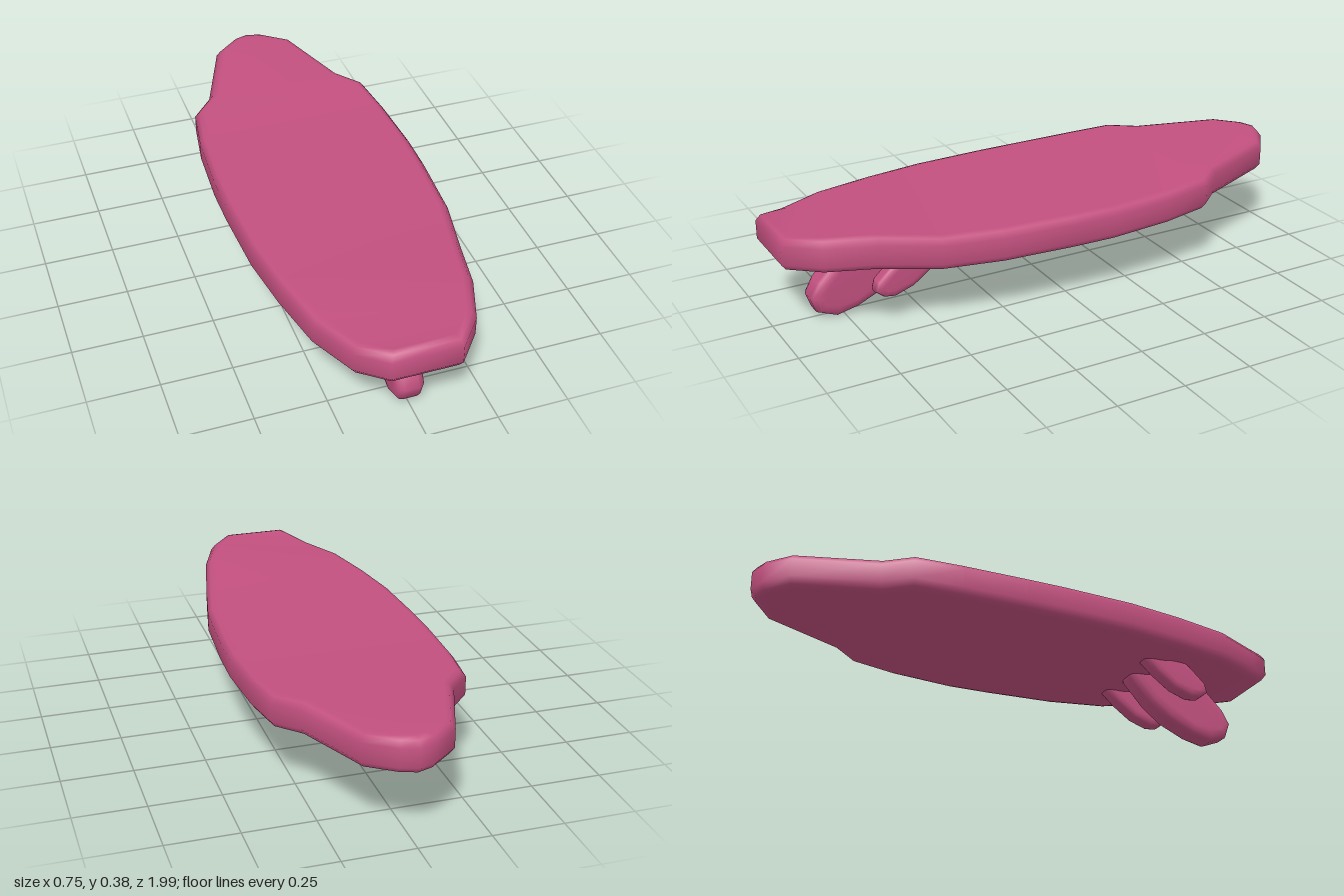
import * as THREE from 'three';
import { mergeVertices } from 'three/addons/utils/BufferGeometryUtils.js';

// Board stations from nose to tail: z, right edge, left edge, lift on each side
const NOSE = { x: 0, z: -1, lift: 0.036 };
const STATIONS = [
  [-0.98, -0.06, 0.06, 0.036, 0.036],
  [-0.905, -0.15, 0.16, 0.034, 0.034],
  [-0.62, -0.26, 0.265, 0.021, 0.021],
  [-0.53, -0.34, 0.34, 0.016, 0.016],
  [-0.36, -0.366, 0.363, 0.006, 0.006],
  [-0.13, -0.378, 0.376, 0, 0],
  [0.02, -0.377, 0.373, 0, 0],
  [0.29, -0.365, 0.355, 0, 0],
  [0.5, -0.335, 0.312, 0, 0],
  [0.715, -0.29, 0.263, 0, 0.03],
  [0.88, -0.213, 0.203, 0, 0.03],
  [0.99, -0.125, 0.115, 0.03, 0.03],
];
// Rounded rail from the underside to the deck: inset, height
const RAIL = [[0.036, 0.22], [0.016, 0.226], [0, 0.248], [0, 0.314], [0.016, 0.335], [0.036, 0.341]];

function boardGeometry() {
  const leftSide = STATIONS.map(([z, , x, , lift]) => ({ x, z, lift }));
  const rightSide = STATIONS.map(([z, x, , lift]) => ({ x, z, lift })).reverse();
  const outline = [NOSE, ...leftSide, ...rightSide];
  const n = outline.length;

  // Inward direction at each corner, mitred so the inset stays even
  const edgeNormal = (a, b) => new THREE.Vector2(a.z - b.z, b.x - a.x).normalize();
  const inward = outline.map((p, i) => {
    const n1 = edgeNormal(outline[(i + n - 1) % n], p);
    const n2 = edgeNormal(p, outline[(i + 1) % n]);
    return n1.clone().add(n2).divideScalar(1 + n1.dot(n2));
  });

  const positions = [];
  const index = [];
  for (const [inset, y] of RAIL) {
    outline.forEach((p, i) => {
      positions.push(p.x + inward[i].x * inset, y + p.lift, p.z + inward[i].y * inset);
    });
  }
  for (let r = 0; r < RAIL.length - 1; r++) {
    for (let i = 0; i < n; i++) {
      const a = r * n + i;
      const b = r * n + ((i + 1) % n);
      index.push(a, a + n, b, b, a + n, b + n);
    }
  }
  // Deck and underside, bridged between opposite edges
  const top = (RAIL.length - 1) * n;
  const cap = (a, b, c) => index.push(top + a, top + b, top + c, a, c, b);
  cap(0, n - 1, 1);
  for (let k = 1; k < STATIONS.length; k++) {
    cap(k, n - k, k + 1);
    cap(n - k, n - k - 1, k + 1);
  }
  const geometry = new THREE.BufferGeometry();
  geometry.setAttribute('position', new THREE.Float32BufferAttribute(positions, 3));
  geometry.setIndex(index);
  geometry.computeVertexNormals();
  return geometry;
}

// Fin profile given as z, y and extruded across x with soft edges
function finGeometry(profile, width, bevel, bevelDepth) {
  const shape = new THREE.Shape(profile.map(([z, y]) => new THREE.Vector2(z, y)));
  const extruded = new THREE.ExtrudeGeometry(shape, {
    depth: width - 2 * bevelDepth,
    bevelSize: bevel,
    bevelOffset: -bevel,
    bevelThickness: bevelDepth,
    bevelSegments: 3,
  });
  extruded.translate(0, 0, bevelDepth - width / 2);
  extruded.rotateY(-Math.PI / 2);
  extruded.deleteAttribute('normal');
  extruded.deleteAttribute('uv');
  const geometry = mergeVertices(extruded, 1e-4);
  geometry.computeVertexNormals();
  return geometry;
}

export function createModel() {
  const model = new THREE.Group();
  model.name = 'surfboard';
  const pink = new THREE.MeshStandardMaterial({ color: 0xc2507f });
  pink.name = 'raspberry pink';

  const add = (name, geometry, x = 0) => {
    const mesh = new THREE.Mesh(geometry, pink);
    mesh.name = name;
    mesh.position.x = x;
    model.add(mesh);
  };

  add('board', boardGeometry());

  add('centreFin', finGeometry([
    [0.68, 0.28], [0.74, 0.24], [0.84, 0.14], [0.87, 0.085], [0.85, 0.03], [0.78, 0.002],
    [0.7, 0.02], [0.6, 0.065], [0.53, 0.12], [0.45, 0.21], [0.44, 0.28],
  ], 0.102, 0.035, 0.026));

  const sideFin = finGeometry([
    [0.57, 0.26], [0.62, 0.22], [0.68, 0.165], [0.69, 0.13], [0.66, 0.107], [0.62, 0.101],
    [0.55, 0.125], [0.48, 0.175], [0.42, 0.23], [0.42, 0.26],
  ], 0.065, 0.024, 0.018);
  add('rightFin', sideFin, -0.155);
  add('leftFin', sideFin, 0.154);

  return model;
}
